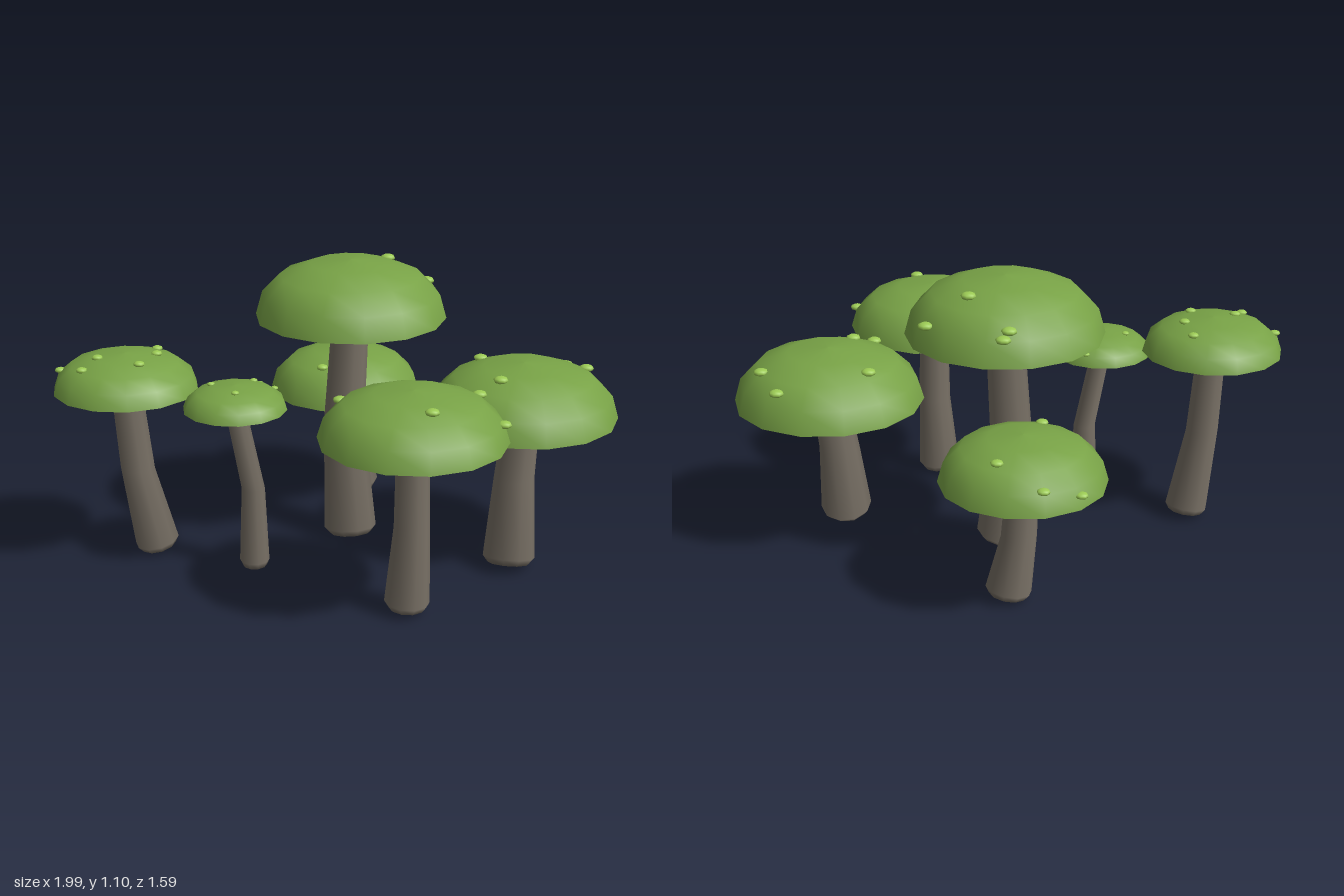
import * as THREE from 'three';

const material = (name, color) => Object.assign(new THREE.MeshStandardMaterial({ color }), { name });

// Dome profile from rim to crown, as fractions of radius and height
const DOME = [[1, 0], [0.93, 0.41], [0.74, 0.73], [0.42, 0.935], [0, 1]].map(p => new THREE.Vector2(...p));

// Height of the dome at a fraction of its radius
function domeHeight(f) {
  const i = Math.max(1, DOME.findIndex(p => p.x <= f));
  const a = DOME[i - 1], b = DOME[i];
  return THREE.MathUtils.mapLinear(Math.min(f, 1), a.x, b.x, a.y, b.y);
}

// Bent, tapering stem: lathe rings moved along the path, with a tilted, bevelled foot
function stemGeometry(base, bend, top, radius) {
  const lean = bend.clone().sub(base);
  lean.divideScalar(lean.y);
  const foot = y => base.clone().addScaledVector(lean, y);
  const centres = [foot(-0.012), foot(-0.012), foot(0.012), bend, top];
  const radii = [0, 0.8, 1, 0.78, 0.7];
  const profile = centres.map((c, k) => new THREE.Vector2(radii[k] * radius, c.y));
  const geometry = new THREE.LatheGeometry(profile, 10);
  const pos = geometry.attributes.position;
  for (let i = 0; i < pos.count; i++) {
    const k = i % centres.length, dx = pos.getX(i), dz = pos.getZ(i);
    const tilt = k < 3 ? dx * lean.x + dz * lean.z : 0;
    pos.setXYZ(i, dx + centres[k].x, Math.max(0, pos.getY(i) - tilt), dz + centres[k].z);
  }
  return geometry;
}

export function createModel() {
  const green = material('capGreen', 0x78a246);
  const grey = material('stemGrey', 0x787065);
  const lime = material('wartLime', 0x9ccb55);
  const wartGeometry = new THREE.SphereGeometry(1, 8, 6);
  const model = new THREE.Group();
  model.name = 'mushroomCluster';

  // cap: x, rim height, z, radius, dome height; foot: x, z, radius; warts: x, z pairs
  function mushroom(name, [x, rim, z, r, h], [footX, footZ, footR], bend, warts) {
    const group = new THREE.Group();
    group.name = name;
    model.add(group);
    const add = (part, geometry, mat) => {
      const mesh = new THREE.Mesh(geometry, mat);
      mesh.name = part;
      group.add(mesh);
      return mesh;
    };

    const base = new THREE.Vector3(footX, 0.03, footZ);
    const top = new THREE.Vector3(x, rim + 0.005, z);
    add('stem', stemGeometry(base, new THREE.Vector3(...bend), top, footR), grey);

    const cap = add('cap', new THREE.LatheGeometry(DOME, 14), green);
    cap.position.set(x, rim, z);
    cap.scale.set(r, h, r);

    // Flat underside, its corners matching the rim
    const underside = add('capUnderside', new THREE.CircleGeometry(r, 14), grey);
    underside.rotation.set(Math.PI / 2, 0, Math.PI / 2);
    underside.position.set(x, rim, z);

    // Flattened warts resting on the dome
    const size = r * 0.078;
    for (const [wx, wz] of warts) {
      const wart = add('wart', wartGeometry, lime);
      const f = Math.hypot(wx - x, wz - z) / r;
      wart.position.set(wx, rim + h * domeHeight(f) + size * 0.1, wz);
      wart.scale.set(size, size * 0.5, size);
    }
  }

  mushroom('tallMushroom', [-0.025, 0.875, -0.16, 0.362, 0.22], [0, -0.08, 0.1], [-0.045, 0.45, -0.14],
    [[-0.085, -0.487], [-0.1, -0.46], [0.208, -0.4], [0.07, -0.33]]);
  mushroom('rightMushroom', [0.65, 0.555, -0.145, 0.355, 0.207], [0.65, 0.005, 0.098], [0.643, 0.33, -0.075],
    [[0.46, -0.262], [0.856, -0.305], [0.76, -0.417], [0.6, 0.021], [0.54, 0.096]]);
  mushroom('frontMushroom', [0.395, 0.65, 0.462, 0.331, 0.18], [0.385, 0.476, 0.081], [0.397, 0.33, 0.467],
    [[0.364, 0.176], [0.112, 0.396], [0.7, 0.412], [0.497, 0.6]]);
  mushroom('backMushroom', [-0.157, 0.46, -0.5, 0.3, 0.177], [-0.11, -0.53, 0.083], [-0.145, 0.25, -0.507],
    [[-0.273, -0.743], [-0.39, -0.668], [-0.102, -0.68], [-0.19, -0.31]]);
  mushroom('leftMushroom', [-0.735, 0.675, 0.335, 0.268, 0.135], [-0.668, 0.262, 0.082], [-0.715, 0.35, 0.31],
    [[-0.674, 0.182], [-0.631, 0.283], [-0.642, 0.412], [-0.968, 0.396], [-0.813, 0.401], [-0.834, 0.487]]);
  mushroom('smallMushroom', [-0.308, 0.64, 0.33, 0.19, 0.09], [-0.25, 0.315, 0.055], [-0.25, 0.33, 0.315],
    [[-0.273, 0.166], [-0.209, 0.187], [-0.273, 0.23], [-0.401, 0.326], [-0.278, 0.401]]);
  return model;
}
